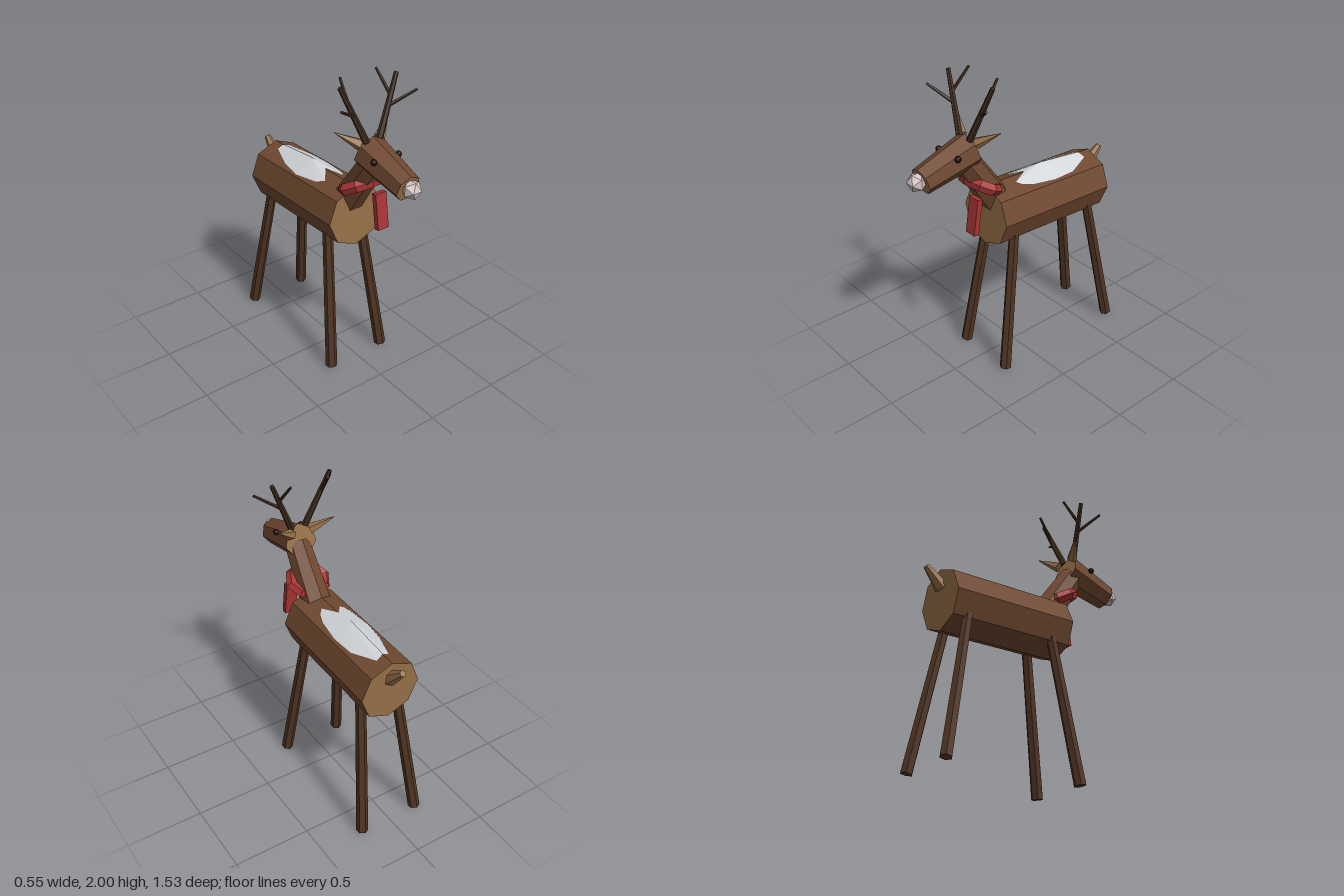
import * as THREE from 'three';

const mat = (name, color, extra = {}) =>
  Object.assign(new THREE.MeshStandardMaterial({ color, flatShading: true, ...extra }), { name });

const UP = new THREE.Vector3(0, 1, 0);

export function createModel() {
  const model = new THREE.Group();
  model.name = 'woodenDeer';

  const bark = mat('bark', 0x6f4830);
  const cutWood = mat('cutWood', 0x967048);
  const legWood = mat('legWood', 0x4f3321);
  const twig = mat('twig', 0x3f2b1d);
  const red = mat('scarfRed', 0xa83434);
  const snow = mat('snow', 0xd2d6da, { side: THREE.DoubleSide });
  const pale = mat('paleNose', 0xd8c6c6);
  const dark = mat('eyeDark', 0x1c1210);

  const add = (name, geometry, material, parent = model) => {
    const mesh = new THREE.Mesh(geometry, material);
    mesh.name = name;
    parent.add(mesh);
    return mesh;
  };

  // Tapered log from point a to point b, with one corner facing up or back
  const log = (name, a, b, ra, rb, sides, material, parent = model) => {
    const from = new THREE.Vector3(...a), to = new THREE.Vector3(...b);
    const dir = to.clone().sub(from);
    const geometry = new THREE.CylinderGeometry(rb, ra, dir.length(), sides, 1, false, Math.PI);
    const mesh = add(name, geometry, material, parent);
    mesh.position.copy(from).add(to).multiplyScalar(0.5);
    mesh.quaternion.setFromUnitVectors(UP, dir.normalize());
    return mesh;
  };

  // Body, neck and head: bark sides with cut ends
  const sawn = [bark, cutWood, cutWood];
  log('body', [0, 1.028, -0.642], [0, 1.062, 0.222], 0.2, 0.2, 8, sawn);
  log('neck', [0, 1.125, 0.125], [0, 1.518, 0.389], 0.1, 0.08, 7, bark);
  log('head', [0, 1.547, 0.338], [0, 1.455, 0.683], 0.11, 0.084, 7, sawn);
  log('tail', [0, 1.11, -0.63], [0, 1.222, -0.75], 0.048, 0.02, 6, cutWood);

  // Nose
  const nose = add('nose', new THREE.IcosahedronGeometry(0.06, 0), pale);
  nose.position.set(0, 1.462, 0.712);
  nose.rotation.z = Math.PI / 2;

  // Mirrored parts
  for (const [side, s] of [['left', 1], ['right', -1]]) {
    log(side + 'FrontLeg', [s * 0.203, 0.005, 0.242], [s * 0.125, 0.945, 0.1], 0.038, 0.033, 6, legWood);
    log(side + 'BackLeg', [s * 0.203, 0.005, -0.688], [s * 0.125, 0.92, -0.525], 0.038, 0.033, 6, legWood);
    log(side + 'Ear', [s * 0.07, 1.61, 0.335], [s * 0.196, 1.692, 0.26], 0.036, 0.002, 5, cutWood);

    const eye = add(side + 'Eye', new THREE.IcosahedronGeometry(0.02, 1), dark);
    eye.position.set(s * 0.09, 1.563, 0.487);

    const antler = new THREE.Group();
    antler.name = side + 'Antler';
    model.add(antler);
    log('beam', [s * 0.048, 1.63, 0.367], [s * 0.2, 1.98, 0.317], 0.022, 0.014, 6, twig, antler);
    log('frontTine', [s * 0.125, 1.8, 0.342], [s * 0.27, 1.893, 0.422], 0.012, 0.008, 5, twig, antler);
    log('backTine', [s * 0.148, 1.855, 0.335], [s * 0.127, 1.992, 0.222], 0.012, 0.008, 5, twig, antler);
  }

  // Scarf ring and its hanging end
  const scarf = add('scarfRing', new THREE.TorusGeometry(0.117, 0.037, 5, 8), red);
  scarf.position.set(0, 1.302, 0.263);
  scarf.rotation.x = 1.06;
  scarf.scale.y = 0.88;
  const end = add('scarfEnd', new THREE.BoxGeometry(0.08, 0.235, 0.035), red);
  end.position.set(0.071, 1.142, 0.367);
  end.rotation.x = -0.145;

  // Snow patch: a low fan from its peak to an outline lying on the body
  const outline = [
    [0, -0.09], [0.05, 0.02], [0.08, -0.01], [0.105, -0.08], [0.125, -0.24], [0.117, -0.4], [0.05, -0.567],
    [0, -0.555], [-0.045, -0.555], [-0.105, -0.385], [-0.13, -0.23], [-0.105, -0.05], [-0.07, 0],
  ].map(([x, z]) => [x, 1.266 + 0.04 * (z - 0.214) - Math.abs(x) * 0.414, z]);
  const points = outline.flatMap((p, i) =>
    [0, 1.272, -0.23, ...p, ...outline[(i + 1) % outline.length]]);
  const patch = new THREE.BufferGeometry();
  patch.setAttribute('position', new THREE.Float32BufferAttribute(points, 3));
  patch.computeVertexNormals();
  add('snowPatch', patch, snow);

  return model;
}
